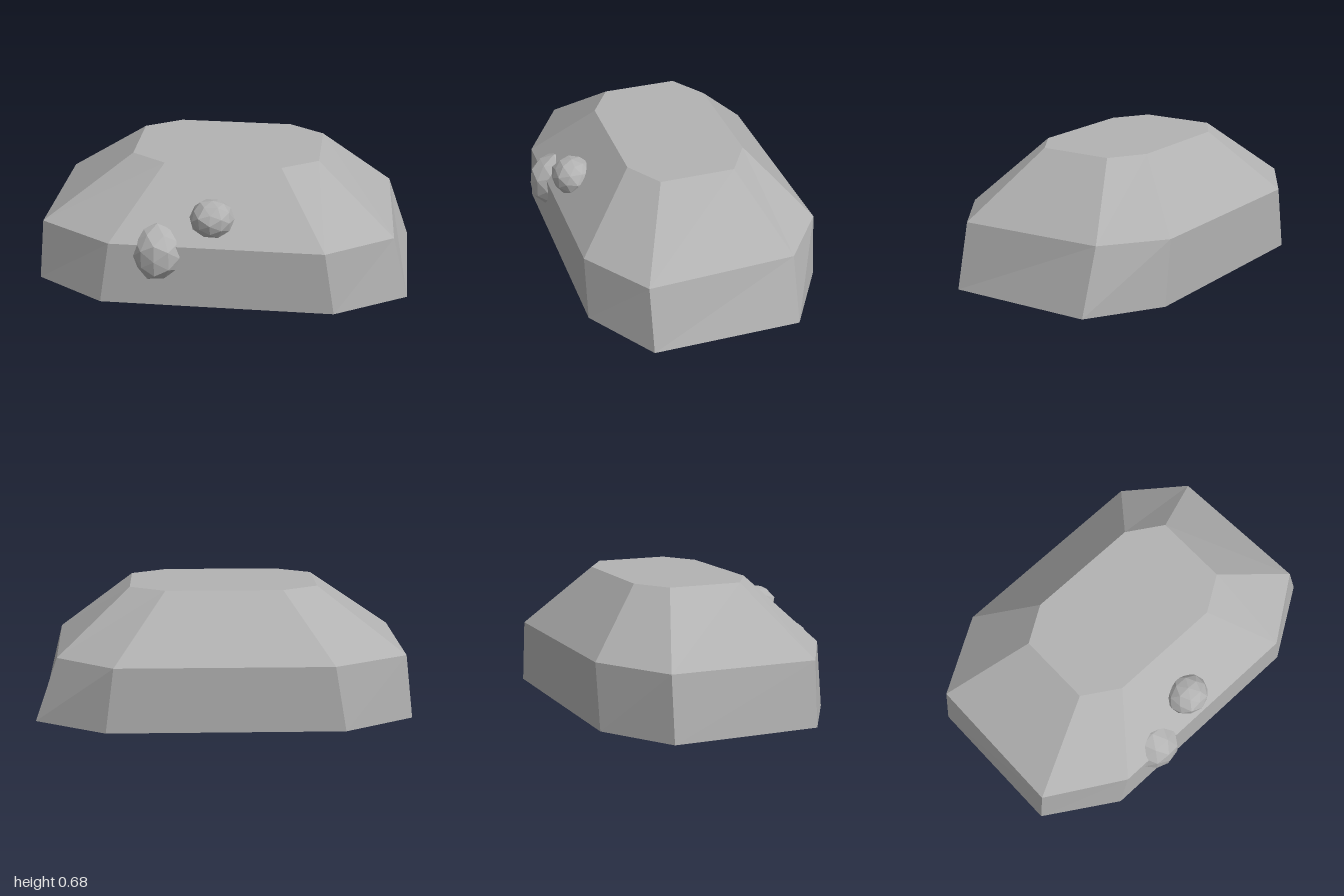
import * as THREE from 'three';
import { mergeVertices } from 'three/addons/utils/BufferGeometryUtils.js';

// Octagonal rings from bottom to top: height, then [x, z] corners counterclockwise seen from above
const RINGS = [
  { y: 0, p: [[1, 0.355], [1, -0.435], [0.62, -0.675], [-0.62, -0.675], [-1, -0.435], [-1, 0.355], [-0.62, 0.595], [0.62, 0.595]] },
  { y: 0.343, p: [[0.915, 0.355], [0.88, -0.435], [0.575, -0.675], [-0.56, -0.675], [-0.96, -0.435], [-0.967, 0.355], [-0.565, 0.595], [0.565, 0.595]] },
  { y: 0.682, p: [[0.5, 0.16], [0.5, -0.24], [0.31, -0.36], [-0.31, -0.36], [-0.5, -0.24], [-0.5, 0.16], [-0.31, 0.28], [0.31, 0.28]] },
];

function boulderGeometry() {
  const positions = [];
  const index = [];
  const n = 8;
  for (const { y, p } of RINGS) for (const [x, z] of p) positions.push(x, y, z);
  // Side bands
  for (let r = 0; r < RINGS.length - 1; r++) {
    for (let i = 0; i < n; i++) {
      const a = r * n + i;
      const b = r * n + ((i + 1) % n);
      index.push(a, b, b + n, a, b + n, a + n);
    }
  }
  // Flat underside and top
  const t = (RINGS.length - 1) * n;
  for (let i = 1; i < n - 1; i++) {
    index.push(0, i + 1, i);
    index.push(t, t + i, t + i + 1);
  }
  const g = new THREE.BufferGeometry();
  g.setAttribute('position', new THREE.Float32BufferAttribute(positions, 3));
  g.setIndex(index);
  const flat = g.toNonIndexed();
  flat.computeVertexNormals();
  return flat;
}

// Faceted pebble with slightly uneven corners
function pebbleGeometry(rx, ry, rz, seed) {
  let s = seed;
  const random = () => (s = (s * 16807) % 2147483647) / 2147483647;
  let g = new THREE.IcosahedronGeometry(1, 1);
  g.deleteAttribute('normal');
  g.deleteAttribute('uv');
  g = mergeVertices(g, 1e-3);
  const pos = g.attributes.position;
  const v = new THREE.Vector3();
  for (let i = 0; i < pos.count; i++) {
    v.fromBufferAttribute(pos, i).multiplyScalar(0.93 + 0.1 * random());
    pos.setXYZ(i, v.x * rx, v.y * ry, v.z * rz);
  }
  const flat = g.toNonIndexed();
  flat.computeVertexNormals();
  return flat;
}

export function createModel() {
  const group = new THREE.Group();
  group.name = 'rock';

  const stone = new THREE.MeshStandardMaterial({ color: 0xb2b2b2, flatShading: true });
  stone.name = 'grey stone';

  const add = (name, geometry, x = 0, y = 0, z = 0) => {
    const mesh = new THREE.Mesh(geometry, stone);
    mesh.name = name;
    mesh.position.set(x, y, z);
    group.add(mesh);
  };

  add('boulder', boulderGeometry());
  // Pebbles half sunk into the front slope
  add('largePebble', pebbleGeometry(0.15, 0.16, 0.15, 77), -0.315, 0.28, 0.522);
  add('smallPebble', pebbleGeometry(0.12, 0.105, 0.113, 1234), -0.03, 0.472, 0.493);

  return group;
}
